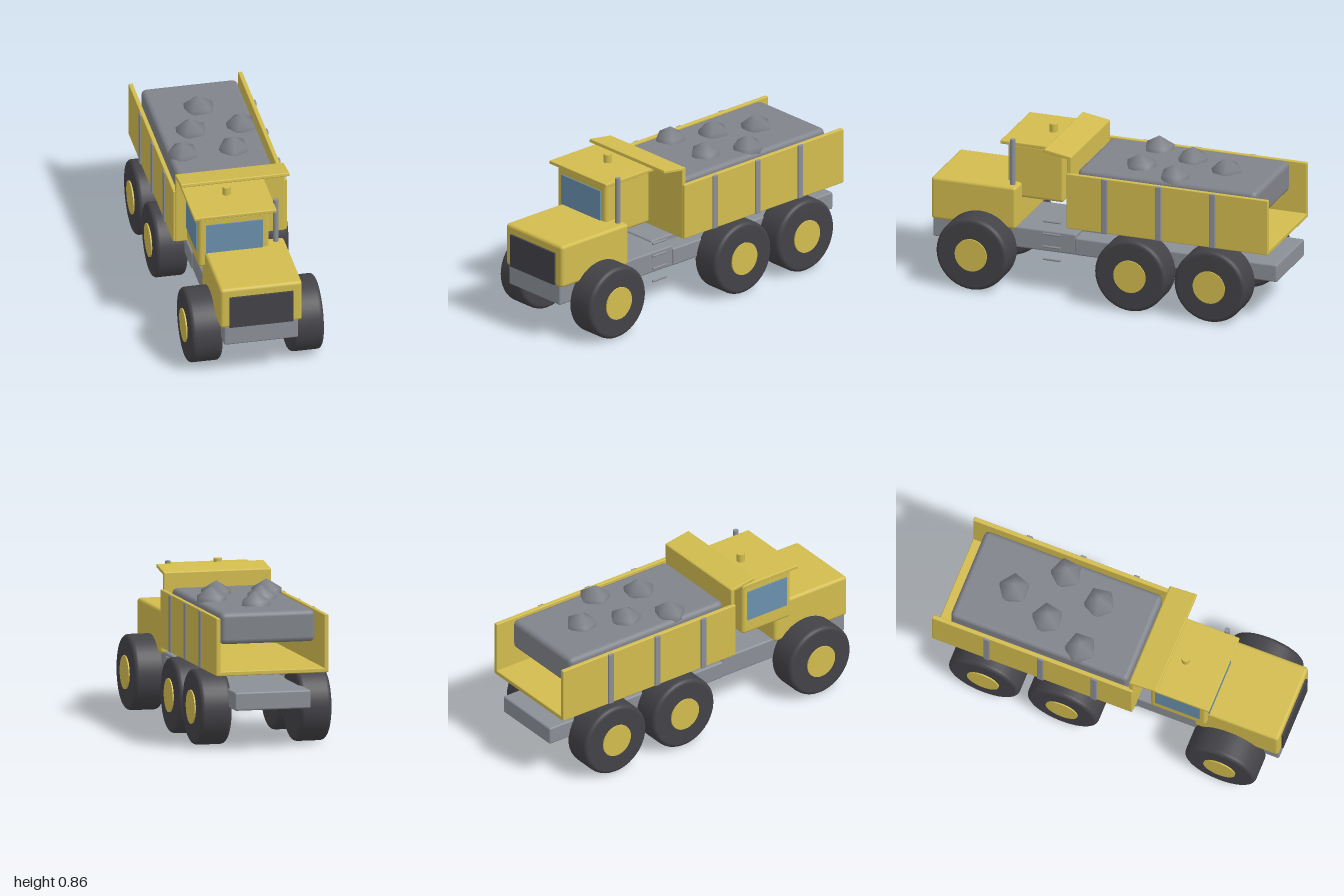
import * as THREE from 'three';
import { RoundedBoxGeometry } from 'three/addons/geometries/RoundedBoxGeometry.js';
import { mergeVertices } from 'three/addons/utils/BufferGeometryUtils.js';

const mat = (name, color) => {
  const m = new THREE.MeshStandardMaterial({ color });
  m.name = name;
  return m;
};

export function createModel() {
  const yellow = mat('yellow paint', 0xd2bc4e);
  const steel = mat('grey steel', 0x8b8f96);
  const gravel = mat('grey rock', 0x80838a);
  const rubber = mat('dark rubber', 0x434247);
  const glass = mat('blue glass', 0x6a90ad);

  const truck = new THREE.Group();
  truck.name = 'dumpTruck';

  const add = (name, geo, material, x = 0, y = 0, z = 0, parent = truck) => {
    const m = new THREE.Mesh(geo, material);
    m.name = name;
    m.position.set(x, y, z);
    parent.add(m);
    return m;
  };
  // Box given by its min and max on each axis, with a rounded edge r
  const box = (name, material, [x0, x1], [y0, y1], [z0, z1], r = 0) => {
    const s = [x1 - x0, y1 - y0, z1 - z0];
    const geo = r ? new RoundedBoxGeometry(...s, 2, r) : new THREE.BoxGeometry(...s);
    return add(name, geo, material, (x0 + x1) / 2, (y0 + y1) / 2, (z0 + z1) / 2);
  };

  // Chassis and articulated joint
  box('frontChassis', steel, [-0.205, 0.205], [0.22, 0.34], [0.16, 0.985], 0.01);
  box('rearChassis', steel, [-0.212, 0.212], [0.222, 0.322], [-1.0, 0.165], 0.01);
  box('joint', steel, [-0.102, 0.102], [0.19, 0.35], [0.02, 0.225], 0.01);

  // Hood and grille
  box('hood', yellow, [-0.226, 0.226], [0.327, 0.57], [0.5, 0.988], 0.018);
  box('grille', rubber, [-0.177, 0.175], [0.335, 0.52], [0.98, 1.0]);

  // Cab, offset to one side
  box('cab', yellow, [-0.26, 0.13], [0.48, 0.787], [0.26, 0.582], 0.018);
  box('roof', yellow, [-0.29, 0.165], [0.79, 0.81], [0.235, 0.612], 0.005);
  box('windscreen', glass, [-0.22, 0.093], [0.56, 0.742], [0.58, 0.589]);
  box('sideWindow', glass, [-0.268, -0.259], [0.567, 0.742], [0.29, 0.55]);
  add('beacon', new THREE.CylinderGeometry(0.023, 0.023, 0.05, 20), yellow, -0.065, 0.831, 0.39);
  add('exhaust', new THREE.CylinderGeometry(0.015, 0.015, 0.29, 16), steel, 0.175, 0.685, 0.535);

  // Ladder rungs beside the joint
  for (let i = 0; i < 4; i++) {
    const rung = new THREE.CylinderGeometry(0.006, 0.006, 0.1, 10).rotateX(Math.PI / 2);
    add('ladderRung', rung, steel, 0.236, 0.187 + i * 0.073, 0.287);
  }

  // Open-backed bed
  box('bedFloor', yellow, [-0.3, 0.3], [0.412, 0.437], [-0.985, 0.17], 0.005);
  box('headboard', yellow, [-0.3, 0.3], [0.412, 0.822], [0.152, 0.178], 0.005);
  const canopy = box('canopy', yellow, [-0.3, 0.3], [0.816, 0.836], [0.155, 0.312], 0.005);
  canopy.rotation.x = -0.16;
  for (const s of [-1, 1]) {
    add('bedWall', new RoundedBoxGeometry(0.024, 0.315, 1.16, 2, 0.005), yellow, s * 0.302, 0.571, -0.405);
    for (const z of [-0.045, -0.355, -0.667]) {
      add('bedRib', new RoundedBoxGeometry(0.018, 0.312, 0.035, 2, 0.005), steel, s * 0.314, 0.571, z);
    }
  }

  // Load with boulders
  box('load', gravel, [-0.265, 0.265], [0.57, 0.743], [-0.9, 0.13], 0.028);
  let rock = new THREE.IcosahedronGeometry(0.094, 0).rotateZ(-Math.atan2(2, 1 + Math.sqrt(5)));
  rock.deleteAttribute('normal');
  rock.deleteAttribute('uv');
  rock = mergeVertices(rock);
  rock.computeVertexNormals();
  const spots = [[0, -0.632], [-0.092, -0.403], [0.185, -0.403], [-0.185, -0.175], [0.095, -0.175]];
  spots.forEach(([x, z], i) => {
    add('boulder', rock, gravel, x, 0.724, z).rotation.y = 0.3 + i * 0.12;
  });

  // Wheels: tyre with rounded shoulders, hub cap on the outside
  const R = 0.206, W = 0.0875, b = 0.024;
  const profile = [[0, -W], [R - b, -W], [R - b, -W]];
  for (const side of [-1, 1]) {
    for (let i = 0; i <= 4; i++) {
      const a = (side < 0 ? -1 + i / 4 : i / 4) * Math.PI / 2;
      profile.push([R - b + b * Math.cos(a), side * (W - b) + b * Math.sin(a)]);
    }
  }
  profile.push([R - b, W], [0, W]);
  const tyre = new THREE.LatheGeometry(
    profile.filter((p, i) => !i || p[0] !== profile[i - 1][0] || p[1] !== profile[i - 1][1])
      .map(p => new THREE.Vector2(...p)), 40).rotateZ(-Math.PI / 2);
  const hub = new THREE.CylinderGeometry(0.092, 0.092, 0.03, 32).rotateZ(Math.PI / 2);
  for (const z of [0.704, -0.21, -0.667]) {
    for (const s of [-1, 1]) {
      const wheel = new THREE.Group();
      wheel.name = 'wheel';
      wheel.position.set(s * 0.279, R, z);
      add('tyre', tyre, rubber, 0, 0, 0, wheel);
      add('hub', hub, yellow, s * 0.08, 0, 0, wheel);
      truck.add(wheel);
    }
  }
  return truck;
}
